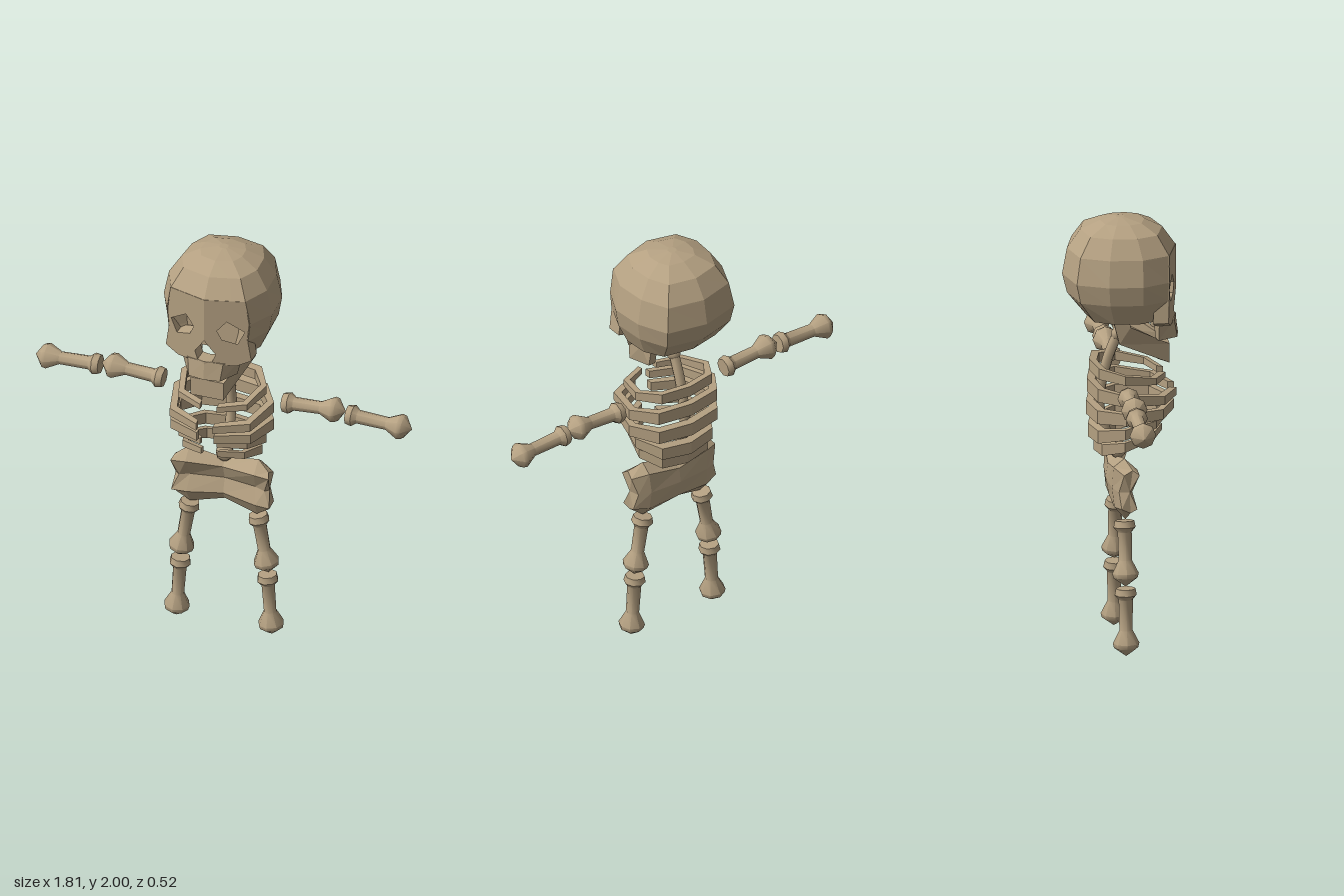
import * as THREE from 'three';
import { toCreasedNormals } from 'three/addons/utils/BufferGeometryUtils.js';

const bone = new THREE.MeshStandardMaterial({ color: 0xb5a182 });
bone.name = 'bone';

function part(name, geometry, parent) {
  const mesh = new THREE.Mesh(geometry, bone);
  mesh.name = name;
  parent.add(mesh);
  return mesh;
}

// Faceted solid through a row of closed cross-sections, capped at both ends
function loft(rings) {
  const V = (p) => new THREE.Vector3(...p);
  const tris = [];
  const n = rings[0].length;
  for (let i = 0; i < rings.length - 1; i++) {
    for (let j = 0; j < n; j++) {
      const k = (j + 1) % n;
      const [a, b, c, d] = [rings[i][j], rings[i][k], rings[i + 1][k], rings[i + 1][j]].map(V);
      tris.push([a, b, c], [a, c, d]);
    }
  }
  for (const [ring, flip] of [[rings[0], true], [rings[rings.length - 1], false]]) {
    const mid = new THREE.Vector3();
    ring.forEach((p) => mid.addScaledVector(V(p), 1 / n));
    for (let j = 0; j < n; j++) {
      const a = V(ring[j]), b = V(ring[(j + 1) % n]);
      tris.push(flip ? [mid, b, a] : [mid, a, b]);
    }
  }
  // Turn the faces outward whichever way the sections run
  const volume = tris.reduce((s, [a, b, c]) => s + a.dot(b.clone().cross(c)), 0);
  const points = tris.flatMap(([a, b, c]) => (volume < 0 ? [a, c, b] : [a, b, c]));
  const geometry = new THREE.BufferGeometry().setFromPoints(points);
  geometry.computeVertexNormals();
  return geometry;
}

// Completes a row of sections given from the +x end to the middle
const mirrorX = (p) => [-p[0], p[1], p[2]];
function mirrored(sections, sharedMiddle) {
  const other = sections.map((s) => s.map(mirrorX)).reverse();
  return sections.concat(sharedMiddle ? other.slice(1) : other);
}

function addSkull(group) {
  // Cranium levels: height, half width, front, back, recess behind the face
  const levels = [
    [2.0, 0.02, 0.02, 0.02], [1.985, 0.1, 0.11, 0.09], [1.945, 0.18, 0.19, 0.18],
    [1.86, 0.235, 0.25, 0.24], [1.855, 0.236, 0.25, 0.241, 0.14], [1.74, 0.26, 0.25, 0.262, 0.14],
    [1.65, 0.245, 0.25, 0.24, 0.14], [1.55, 0.2, 0.22, 0.16, 0.14],
  ];
  part('cranium', loft(levels.map(([y, w, f, b, recess]) => {
    const half = [
      [0, recess ?? f], [0.5 * w, recess ?? 0.87 * f], [0.76 * w, 0.8 * f], [w, 0.3 * f],
      [0.96 * w, -0.3 * b], [0.72 * w, -0.83 * b], [0, -b],
    ].map(([x, z]) => [x, y, z]);
    return half.concat(half.slice(1, -1).reverse().map(mirrorX));
  })), group);

  // Face plate in two halves, with eye sockets and a shared nose opening
  const outline = [[0, 1.86], [0.18, 1.86], [0.2, 1.74], [0.19, 1.65], [0.205, 1.55],
    [0.14, 1.52], [0, 1.52], [0, 1.535], [0.035, 1.535], [0.05, 1.575], [0, 1.645]];
  const eye = [[0.055, 1.7], [0.098, 1.75], [0.177, 1.7], [0.145, 1.635], [0.077, 1.655]];
  for (const side of [1, -1]) {
    const toPoints = (list) => list.map(([x, y]) => new THREE.Vector2(side * x, y));
    const shape = new THREE.Shape(toPoints(outline));
    shape.holes.push(new THREE.Path(toPoints(eye)));
    const geometry = new THREE.ExtrudeGeometry(shape, { depth: 0.07, bevelEnabled: false });
    const p = geometry.attributes.position;
    for (let i = 0; i < p.count; i++) p.setZ(i, p.getZ(i) + 0.182 - 0.28 * Math.abs(p.getX(i)));
    geometry.computeVertexNormals();
    part(side > 0 ? 'leftFace' : 'rightFace', geometry, group);
  }

  // Upper jaw: a bent band under the nose
  part('upperJaw', loft(mirrored([
    [[0.147, 1.53, 0.16], [0.125, 1.445, 0.16], [0.09, 1.445, 0.15], [0.1, 1.53, 0.14]],
    [[0.085, 1.53, 0.235], [0.075, 1.445, 0.25], [0.06, 1.445, 0.2], [0.06, 1.53, 0.18]],
    [[0, 1.535, 0.25], [0, 1.445, 0.262], [0, 1.445, 0.21], [0, 1.535, 0.18]],
  ], true)), group);

  // Lower jaw: hinge, angle and chin
  part('lowerJaw', loft(mirrored([
    [[0.15, 1.575, 0.02], [0.15, 1.56, -0.05], [0.115, 1.56, -0.05], [0.115, 1.575, 0.02]],
    [[0.15, 1.52, 0.03], [0.145, 1.44, -0.02], [0.11, 1.44, -0.02], [0.115, 1.52, 0.03]],
    [[0.08, 1.415, 0.215], [0.078, 1.325, 0.215], [0.06, 1.335, 0.175], [0.06, 1.425, 0.175]],
  ], false)), group);
}

function addTorso(group) {
  // Spine: a curved rod with a knob at its foot
  const path = new THREE.CatmullRomCurve3([[1.45, -0.01], [1.32, -0.06], [1.12, -0.095], [0.98, -0.06], [0.89, -0.01]]
    .map(([y, z]) => new THREE.Vector3(0, y, z)));
  part('spine', new THREE.TubeGeometry(path, 10, 0.024, 8, false), group);
  part('spineTop', new THREE.SphereGeometry(0.033, 8, 5), group).position.set(0, 1.445, -0.01);
  part('spineFoot', new THREE.SphereGeometry(0.042, 8, 6), group).position.set(0, 0.905, -0.01);

  // Ribs: half width, front z and its top and bottom, back z and its top and bottom
  const ribs = [
    [0.205, 0.2, 1.27, 1.243, 0.14, 1.333, 1.28],
    [0.24, 0.25, 1.196, 1.16, 0.15, 1.243, 1.18],
    [0.24, 0.24, 1.143, 1.1, 0.153, 1.138, 1.074],
    [0.205, 0.2, 1.09, 1.06, 0.145, 1.03, 0.968],
    [0.185, 0.185, 1.03, 1.0, 0.12, 0.96, 0.905],
  ];
  ribs.forEach(([w, f, ft, fb, b, bt, bb], i) => {
    const plan = [[0.04, f, 0.04, f - 0.03], [0.8 * w, 0.72 * f, 0.69 * w, 0.62 * f], [w, 0, 0.86 * w, 0],
      [0.68 * w, -0.8 * b, 0.58 * w, -0.58 * b], [0, -b, 0, -0.75 * b]];
    const sections = plan.map(([x, z, xi, zi]) => {
      const at = (front, back, depth) => THREE.MathUtils.lerp(front, back, (f - depth) / (f + b));
      return [[x, at(ft, bt, z), z], [x, at(fb, bb, z), z], [xi, at(fb, bb, zi), zi], [xi, at(ft, bt, zi), zi]];
    });
    part('rib' + (i + 1), loft(mirrored(sections, true)), group);
  });

  // Pelvis: a waisted plate whose wings bend forward
  part('pelvis', loft(mirrored([
    [[0.225, 0.87, 0.03], [0.235, 0.85, 0.06], [0.205, 0.765, 0.03], [0.235, 0.69, 0.05], [0.225, 0.67, 0.02],
      [0.232, 0.69, -0.02], [0.21, 0.765, -0.03], [0.235, 0.85, -0.01]],
    [[0.165, 0.91, 0], [0.165, 0.855, 0.058], [0.155, 0.77, 0.014], [0.165, 0.69, 0.045], [0.16, 0.622, 0.005],
      [0.16, 0.68, -0.045], [0.155, 0.77, -0.055], [0.165, 0.87, -0.05]],
    [[0, 0.87, -0.015], [0, 0.84, 0.015], [0, 0.77, -0.01], [0, 0.7, 0.012], [0, 0.662, -0.01],
      [0, 0.69, -0.05], [0, 0.77, -0.065], [0, 0.84, -0.055]],
  ], true)), group);
}

// Limb bone: collar at the start, slim shaft, pointed knob at the end
function addLimb(name, from, to, group) {
  const a = new THREE.Vector3(...from, 0), b = new THREE.Vector3(...to, 0);
  const L = a.distanceTo(b);
  const profile = [[0, 0], [0.044, 0], [0.05, 0.03], [0.032, 0.052], [0.03, L - 0.12],
    [0.06, L - 0.06], [0.055, L - 0.04], [0, L]].map(([r, y]) => new THREE.Vector2(r, y));
  const mesh = part(name, toCreasedNormals(new THREE.LatheGeometry(profile, 8), 0.82), group);
  mesh.position.copy(a);
  mesh.quaternion.setFromUnitVectors(new THREE.Vector3(0, 1, 0), b.sub(a).normalize());
}

export function createModel() {
  const model = new THREE.Group();
  model.name = 'skeleton';
  const add = (name, build) => {
    const group = new THREE.Group();
    group.name = name;
    build(group);
    model.add(group);
  };
  add('skull', addSkull);
  add('torso', addTorso);
  for (const [label, s] of [['left', 1], ['right', -1]]) {
    add(label + 'Arm', (g) => {
      addLimb('upperArm', [s * 0.287, 1.238], [s * 0.585, 1.255], g);
      addLimb('forearm', [s * 0.592, 1.242], [s * 0.903, 1.23], g);
    });
    add(label + 'Leg', (g) => {
      addLimb('thigh', [s * 0.163, 0.617], [s * 0.213, 0.322], g);
      addLimb('shin', [s * 0.208, 0.312], [s * 0.23, 0.0], g);
    });
  }
  return model;
}
